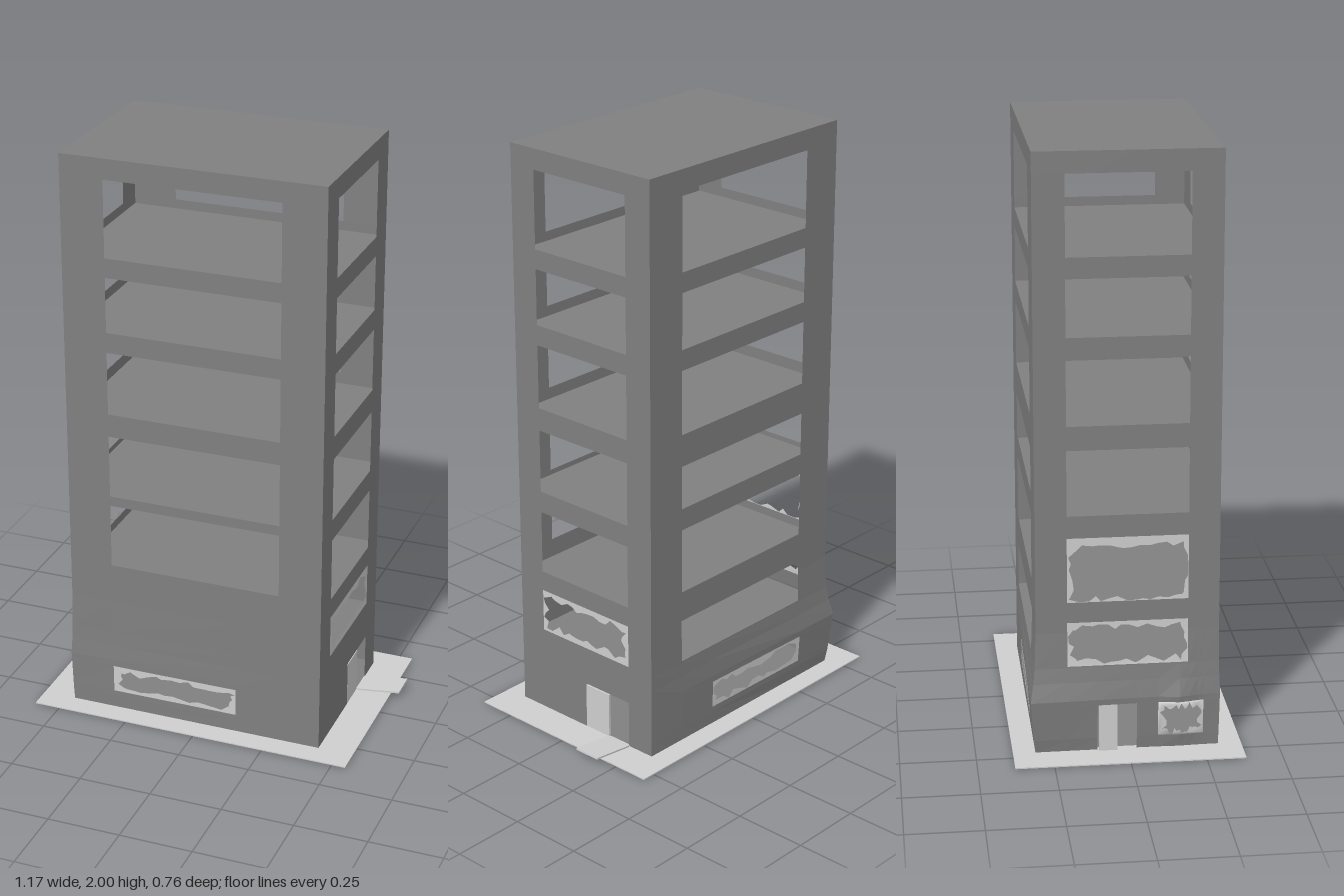
import * as THREE from 'three';

const X0 = -0.47, X1 = 0.428, Z = 0.3, H = 2;

export function createModel() {
  const concrete = new THREE.MeshStandardMaterial({ color: 0x808080, side: THREE.DoubleSide });
  concrete.name = 'concrete';
  const pale = new THREE.MeshStandardMaterial({ color: 0xcfcfcf, side: THREE.DoubleSide });
  pale.name = 'pale glass and paving';

  const model = new THREE.Group();
  const add = (name, geometry, material) => {
    const mesh = new THREE.Mesh(geometry, material);
    mesh.name = name;
    model.add(mesh);
    return mesh;
  };

  let seed = 7;
  const rand = () => (seed = (seed * 16807) % 2147483647) / 2147483647;

  // Damage near the ground: walls buckle outward, most at the back right corner
  const profile = [[0, 0.2], [0.05, 0.5], [0.19, 1], [0.25, 0.5], [0.3, 0.25], [0.42, 0]];
  const bulge = (y) => {
    for (let i = 1; i < profile.length; i++) {
      const [a, fa] = profile[i - 1], [b, fb] = profile[i];
      if (y <= b) return fa + (fb - fa) * (y - a) / (b - a);
    }
    return 0;
  };
  // Maps wall coordinates (u along the wall, v up) to space
  const place = (side, u, v) => {
    const across = side === 'front' || side === 'back';
    const x = across ? u : (side === 'east' ? X1 : X0);
    const z = across ? (side === 'front' ? Z : -Z) : u;
    const f = bulge(v), toRight = (X1 - x) / (X1 - X0);
    let dx = 0, dz = 0;
    if (x <= X0 + 1e-6) dx = -f * (0.008 + 0.022 * (Z - z) / 0.6 + 0.014 * Math.exp(-(((z - 0.17) / 0.05) ** 2)));
    if (z <= -Z + 1e-6) dz = -f * 0.02 * toRight;
    if (z >= Z - 1e-6) dz = f * 0.005 * toRight;
    return [x + dx, v, z + dz];
  };

  // A wall is a grid of cells; cells inside an opening are left out
  const wall = (name, side, holes) => {
    const across = side === 'front' || side === 'back';
    const [a, b] = across ? [X0, X1] : [-Z, Z];
    const sorted = (list) => [...new Set(list)].sort((p, q) => p - q);
    const us = sorted([a, b, ...(side === 'west' ? [0.1, 0.17, 0.23] : []), ...holes.flatMap((h) => [h[0], h[1]])]);
    const vs = sorted([0, 0.05, 0.19, 0.25, 0.3, 0.42, H, ...holes.flatMap((h) => [h[2], h[3]])]);
    const flip = side === 'back' || side === 'east';
    const pos = [];
    for (let i = 0; i + 1 < us.length; i++) {
      for (let j = 0; j + 1 < vs.length; j++) {
        const cu = (us[i] + us[i + 1]) / 2, cv = (vs[j] + vs[j + 1]) / 2;
        if (holes.some((h) => cu > h[0] && cu < h[1] && cv > h[2] && cv < h[3])) continue;
        const p = place(side, us[i], vs[j]), q = place(side, us[i + 1], vs[j]);
        const r = place(side, us[i + 1], vs[j + 1]), s = place(side, us[i], vs[j + 1]);
        if (flip) pos.push(...p, ...r, ...q, ...p, ...s, ...r);
        else pos.push(...p, ...q, ...r, ...p, ...r, ...s);
      }
    }
    const g = new THREE.BufferGeometry();
    g.setAttribute('position', new THREE.Float32BufferAttribute(pos, 3));
    g.computeVertexNormals();
    add(name, g, concrete);
  };

  // Broken pane: a rectangle with a ragged hole
  const pane = (name, side, [u0, u1, v0, v1], [left, right, low, high]) => {
    const shape = new THREE.Shape([[u0, v0], [u1, v0], [u1, v1], [u0, v1]].map((p) => new THREE.Vector2(...p)));
    const a = u0 + left, b = u1 - right, c = v0 + low, d = v1 - high;
    const corners = [[a, c], [a, d], [b, d], [b, c]];
    const pts = [];
    corners.forEach(([x, y], k) => {
      const [nx, ny] = corners[(k + 1) % 4];
      const n = k % 2 ? 14 : 6;
      for (let i = 0; i < n; i++) {
        const t = (i + rand() * 0.6) / n, w = 0.028;
        const px = x + (nx - x) * t + (k % 2 ? 0 : (rand() - 0.5) * w);
        const py = y + (ny - y) * t + (k % 2 ? (rand() - 0.5) * w : 0);
        pts.push(new THREE.Vector2(
          Math.min(u1 - 0.002, Math.max(u0 + 0.002, px)),
          Math.min(v1 - 0.002, Math.max(v0 + 0.002, py))));
      }
    });
    shape.holes.push(new THREE.Path(pts));
    const g = new THREE.ShapeGeometry(shape);
    const p = g.attributes.position;
    for (let i = 0; i < p.count; i++) p.setXYZ(i, ...place(side, p.getX(i), p.getY(i)));
    if (side === 'back' || side === 'east') g.setIndex([...g.index.array].reverse());
    g.computeVertexNormals();
    add(name, g, pale);
  };

  // Openings
  const rows = [[1.667, 1.93], [1.41, 1.6], [1.12, 1.34]];
  const wide = (r) => [-0.32, 0.28, ...r], narrow = (r) => [-0.197, 0.198, ...r];
  const shop = [-0.32, 0.128, 0.07, 0.168];
  const fifth = narrow([0.525, 0.745]), sixth = narrow([0.305, 0.455]);
  const sideRows = [...rows, [0.82, 1.04]].map(narrow).concat([fifth, sixth]);
  const door = [-0.197, 0, 0, 0.17];
  const sideDoor = [-0.1, 0.03, 0, 0.17], sideShop = [0.1, 0.25, 0.05, 0.17];

  wall('frontWall', 'front', [...rows, [0.82, 1.04], [0.56, 0.785]].map(wide).concat([shop]));
  wall('backWall', 'back', [...rows, [0.86, 1.01], [0.56, 0.785], [0.305, 0.455]].map(wide).concat([shop]));
  wall('leftWall', 'east', [...sideRows, door]);
  wall('rightWall', 'west', [...sideRows, sideDoor, sideShop]);

  // Broken glass
  pane('frontShopGlass', 'front', shop, [0.025, 0.012, 0.018, 0.018]);
  pane('backShopGlass', 'back', shop, [0.025, 0.015, 0.014, 0.018]);
  pane('leftWindowGlass', 'east', sixth, [0.018, 0.014, 0.022, 0.02]);
  pane('rightUpperGlass', 'west', fifth, [0.018, 0.004, 0.008, 0.036]);
  pane('rightLowerGlass', 'west', sixth, [0.016, 0.012, 0.018, 0.016]);
  pane('rightShopGlass', 'west', sideShop, [0.015, 0.015, 0.014, 0.014]);

  // Roof, storeys and ground floor
  const floor = (name, y, up = true) => {
    const g = new THREE.PlaneGeometry(X1 - X0, 2 * Z).rotateX(up ? -Math.PI / 2 : Math.PI / 2);
    add(name, g, concrete).position.set((X0 + X1) / 2, y, 0);
  };
  floor('roof', H);
  [1.635, 1.375, 1.08, 0.802, 0.495, 0.25].forEach((y, i) => floor('storeyFloor' + (i + 1), y));
  floor('groundFloor', 0.012);
  floor('foundation', 0, false);

  // Pavement
  add('pavement', new THREE.BoxGeometry(1.136, 0.004, 0.757), pale).position.set(-0.019, 0.004, 0);

  // Doors: one leaf standing, one fallen outward, one on the far side
  add('standingDoor', new THREE.BoxGeometry(0.008, 0.158, 0.105), pale).position.set(X1 - 0.004, 0.086, -0.053);
  const fallen = add('fallenDoor', new THREE.BoxGeometry(0.156, 0.006, 0.097), pale);
  fallen.position.set(0.508, 0.017, -0.153);
  fallen.rotation.z = 0.12;
  add('rightDoor', new THREE.BoxGeometry(0.008, 0.164, 0.06), pale).position.set(X0 - 0.012, 0.088, -0.065);

  return model;
}
